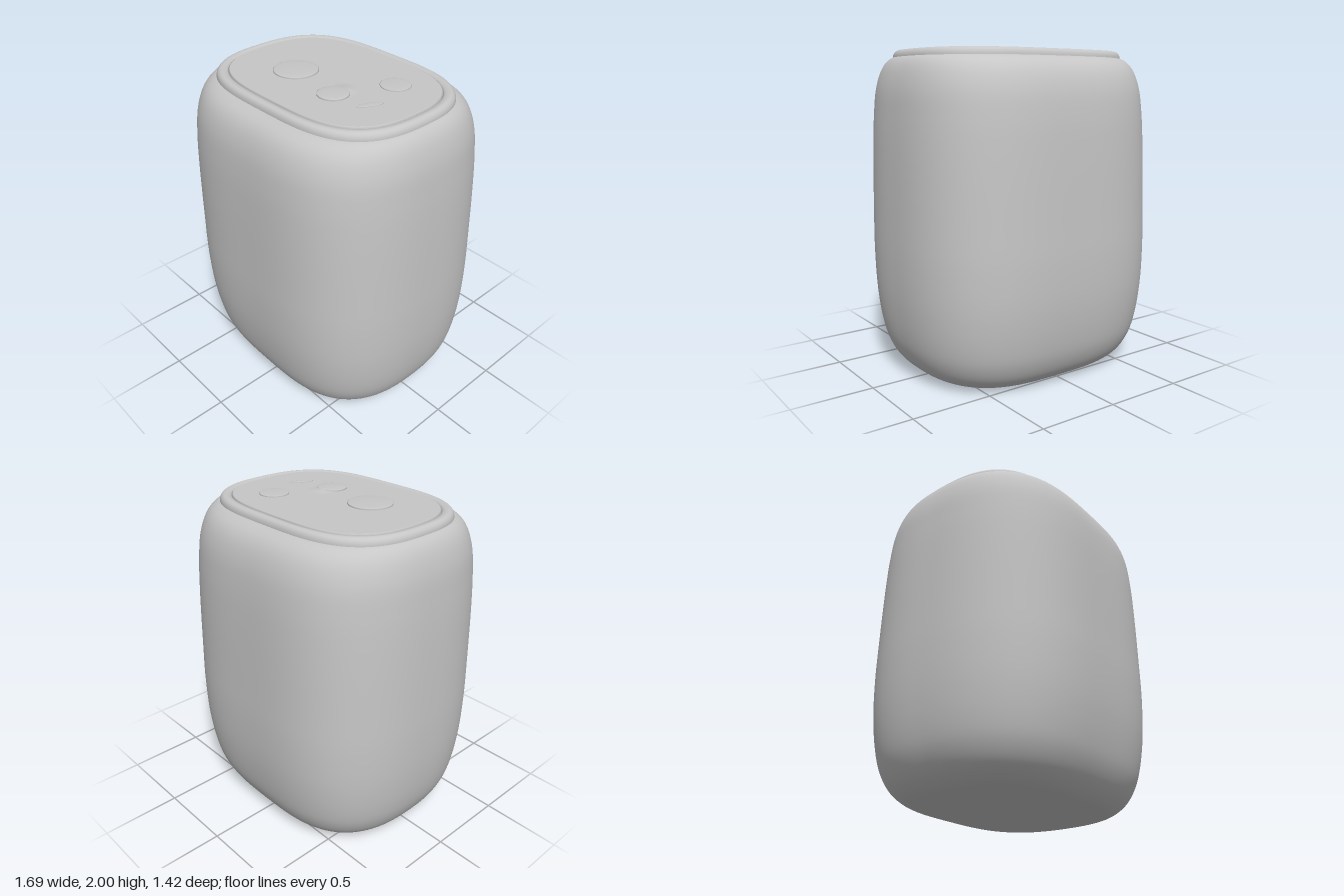
import * as THREE from 'three';

const SEGMENTS = 128;

// The whole shape leans very slightly forwards towards the top
const lean = (y) => -0.01 + 0.009 * y;

// Closed loft of rounded-rectangle rings, each [half width, y, half depth], listed bottom to top.
// A higher powerX flattens the front and back, a higher powerZ flattens the sides.
function loft(rings, powerX, powerZ) {
  const positions = [];
  const index = [];
  for (const [a, y, c] of rings) {
    for (let j = 0; j < SEGMENTS; j++) {
      const t = ((j + 0.5) / SEGMENTS) * Math.PI * 2;
      const cos = Math.cos(t), sin = Math.sin(t);
      const x = a * Math.sign(cos) * Math.abs(cos) ** (2 / powerX);
      const z = c * Math.sign(sin) * Math.abs(sin) ** (2 / powerZ);
      positions.push(x, y, z + lean(y));
    }
  }
  for (let i = 0; i < rings.length - 1; i++) {
    for (let j = 0; j < SEGMENTS; j++) {
      const k = (j + 1) % SEGMENTS;
      const p = i * SEGMENTS + j, q = i * SEGMENTS + k;
      index.push(p, p + SEGMENTS, q, q, p + SEGMENTS, q + SEGMENTS);
    }
  }
  const geometry = new THREE.BufferGeometry();
  geometry.setAttribute('position', new THREE.Float32BufferAttribute(positions, 3));
  geometry.setIndex(index);
  geometry.computeVertexNormals();
  return geometry;
}

// Smooth list of rings through a few profile stations
function smoothRings(stations, count) {
  const curve = new THREE.CatmullRomCurve3(stations.map((s) => new THREE.Vector3(...s)), false, 'centripetal');
  return curve.getPoints(count).map((p) => p.toArray());
}

// Low rounded button, base at y = 0; edge is the share of the height that is upright
function buttonGeometry(radius, height, edge = 0.5) {
  const points = [new THREE.Vector2(radius, -0.01)];
  for (let i = 0; i <= 8; i++) {
    const t = (i / 8) * Math.PI / 2;
    points.push(new THREE.Vector2(i === 8 ? 0 : radius * Math.cos(t), height * (edge + (1 - edge) * Math.sin(t))));
  }
  return new THREE.LatheGeometry(points, 40);
}

export function createModel() {
  const model = new THREE.Group();
  const grey = new THREE.MeshStandardMaterial({ color: 0xc6c6c6 });
  grey.name = 'grey';

  const add = (name, geometry) => {
    const mesh = new THREE.Mesh(geometry, grey);
    mesh.name = name;
    model.add(mesh);
    return mesh;
  };

  // Soft, slightly tapering casing
  const profile = [
    [0.56, 0.001, 0.44], [0.61, 0.007, 0.485], [0.67, 0.035, 0.538], [0.73, 0.09, 0.592],
    [0.78, 0.185, 0.64], [0.81, 0.3, 0.67], [0.834, 0.5, 0.698], [0.843, 0.75, 0.709],
    [0.841, 1.0, 0.706], [0.832, 1.4, 0.697], [0.822, 1.6, 0.687], [0.808, 1.75, 0.668],
    [0.783, 1.85, 0.635], [0.757, 1.905, 0.597], [0.726, 1.938, 0.548], [0.69, 1.95, 0.5],
  ];
  add('casing', loft(smoothRings(profile, 80), 3.2, 2.5));

  // Flat underside
  add('base', loft([[0, 0, 0], [0.53, 0, 0.41], [0.562, 0.001, 0.442]], 3.2, 2.5));

  // Raised rounded rim around the top
  const rim = [
    [0.712, 1.935, 0.523], [0.71, 1.955, 0.521], [0.704, 1.97, 0.516], [0.694, 1.981, 0.507],
    [0.68, 1.987, 0.493], [0.662, 1.985, 0.475], [0.648, 1.978, 0.461], [0.64, 1.96, 0.453],
  ];
  add('rim', loft(smoothRings(rim, 24), 3.4, 2.6));

  // Control panel set inside the rim
  add('panelEdge', loft([[0.644, 1.95, 0.457], [0.642, 1.981, 0.455], [0.636, 1.986, 0.449]], 3.5, 2.6));
  add('panel', loft([[0.636, 1.986, 0.449], [0, 1.986, 0]], 3.5, 2.6));

  // Buttons: [name, x, z, radius, height]
  const buttons = [
    ['largeButton', -0.215, 0.1, 0.134, 0.014],
    ['frontButton', 0.175, 0.163, 0.092, 0.014],
    ['backButton', 0.325, -0.175, 0.09, 0.01],
  ];
  for (const [name, x, z, radius, height] of buttons) {
    add(name, buttonGeometry(radius, height)).position.set(x, 1.986, z);
  }

  // Soft swell behind the front button
  const swell = [];
  for (let i = 0; i <= 10; i++) {
    const t = i / 10;
    swell.push(new THREE.Vector2(0.095 * (1 - t), 0.009 * t * t * (3 - 2 * t)));
  }
  add('buttonSwell', new THREE.LatheGeometry(swell, 40)).position.set(0.175, 1.986, 0.085);

  // Slim slanted indicator
  const indicator = add('indicator', buttonGeometry(0.078, 0.005));
  indicator.scale.x = 0.27;
  indicator.rotation.y = -0.42;
  indicator.position.set(0.408, 1.986, 0.11);

  return model;
}
